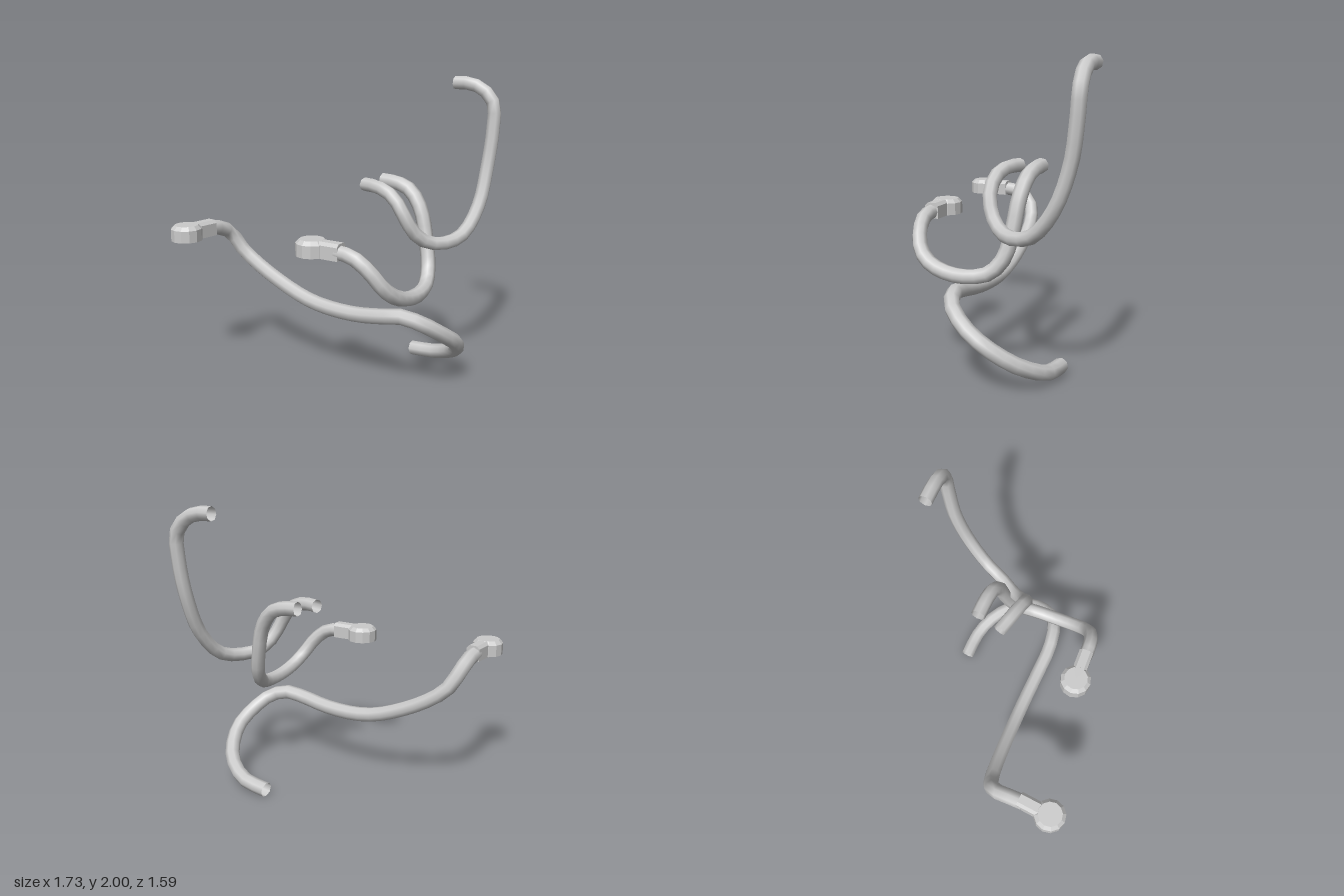
import * as THREE from 'three';

const tubeMaterial = new THREE.MeshStandardMaterial({ color: 0xcccccc, side: THREE.DoubleSide });
const flatMaterial = new THREE.MeshStandardMaterial({ color: 0xcccccc, flatShading: true });

// Open-ended round cable following a list of [x, y, z] points
function makeCable(name, points, radius, segments) {
  const curve = new THREE.CatmullRomCurve3(points.map(p => new THREE.Vector3(...p)));
  const mesh = new THREE.Mesh(new THREE.TubeGeometry(curve, segments, radius, 8, false), tubeMaterial);
  mesh.name = name;
  return mesh;
}

// Round bevelled terminal at (x, z) whose neck points towards (neckX, neckZ)
function makeTerminal(name, x, z, neckX, neckZ) {
  const group = new THREE.Group();
  group.name = name;

  const profile = [[0, 0], [0.104, 0], [0.104, 0.08], [0.08, 0.105], [0, 0.105]];
  const head = new THREE.Mesh(
    new THREE.LatheGeometry(profile.map(p => new THREE.Vector2(...p)), 12), flatMaterial);
  head.name = 'terminalHead';

  // Neck section with chamfered upper edges
  const section = new THREE.Shape([
    [-0.048, 0], [0.048, 0], [0.048, 0.085], [0.028, 0.105], [-0.028, 0.105], [-0.048, 0.085],
  ].map(p => new THREE.Vector2(...p)));
  const length = Math.hypot(neckX - x, neckZ - z);
  const neckGeometry = new THREE.ExtrudeGeometry(section, { depth: length - 0.06, bevelEnabled: false });
  neckGeometry.translate(0, -0.001, 0.06);
  const neck = new THREE.Mesh(neckGeometry, flatMaterial);
  neck.name = 'terminalNeck';

  group.add(head, neck);
  group.position.set(x, 0.935, z);
  group.rotation.y = Math.atan2(neckX - x, neckZ - z);
  return group;
}

export function createModel() {
  const model = new THREE.Group();
  model.name = 'cableSet';

  // Long lower cable
  model.add(makeCable('longCable', [
    [-0.755, 0.98, 0.5], [-0.757, 0.965, 0.39], [-0.75, 0.91, 0.29], [-0.69, 0.79, 0.237],
    [-0.58, 0.7, 0.212], [-0.4, 0.6, 0.19], [-0.17, 0.51, 0.173], [0, 0.48, 0.166],
    [0.25, 0.48, 0.165], [0.46, 0.51, 0.165], [0.6, 0.53, 0.14], [0.72, 0.49, 0.085],
    [0.795, 0.4, -0.04], [0.81, 0.31, -0.18], [0.74, 0.2, -0.33], [0.64, 0.13, -0.415],
    [0.5, 0.075, -0.465], [0.31, 0.053, -0.468],
  ], 0.051, 32));
  model.add(makeTerminal('longCableTerminal', -0.76, 0.69, -0.75, 0.47));

  // Short middle cable
  model.add(makeCable('middleCable', [
    [0.33, 0.98, 0.465], [0.44, 0.965, 0.458], [0.54, 0.89, 0.43], [0.61, 0.78, 0.375],
    [0.64, 0.71, 0.29], [0.65, 0.665, 0.15], [0.642, 0.66, 0], [0.615, 0.69, -0.12],
    [0.58, 0.78, -0.2], [0.535, 0.95, -0.24], [0.48, 1.14, -0.256], [0.39, 1.26, -0.265],
    [0.29, 1.3, -0.265], [0.17, 1.31, -0.26],
  ], 0.049, 26));
  model.add(makeTerminal('middleCableTerminal', 0.143, 0.475, 0.36, 0.46));

  // Tall upper cable
  model.add(makeCable('upperCable', [
    [0.14, 1.3, -0.09], [0.28, 1.295, -0.06], [0.4, 1.245, -0.045], [0.475, 1.14, -0.05],
    [0.525, 1.02, -0.1], [0.575, 0.95, -0.18], [0.645, 0.93, -0.3], [0.695, 0.97, -0.45],
    [0.725, 1.14, -0.6], [0.73, 1.4, -0.7], [0.74, 1.65, -0.74], [0.73, 1.82, -0.75],
    [0.65, 1.915, -0.74], [0.55, 1.95, -0.73], [0.45, 1.953, -0.724],
  ], 0.046, 28));

  return model;
}
